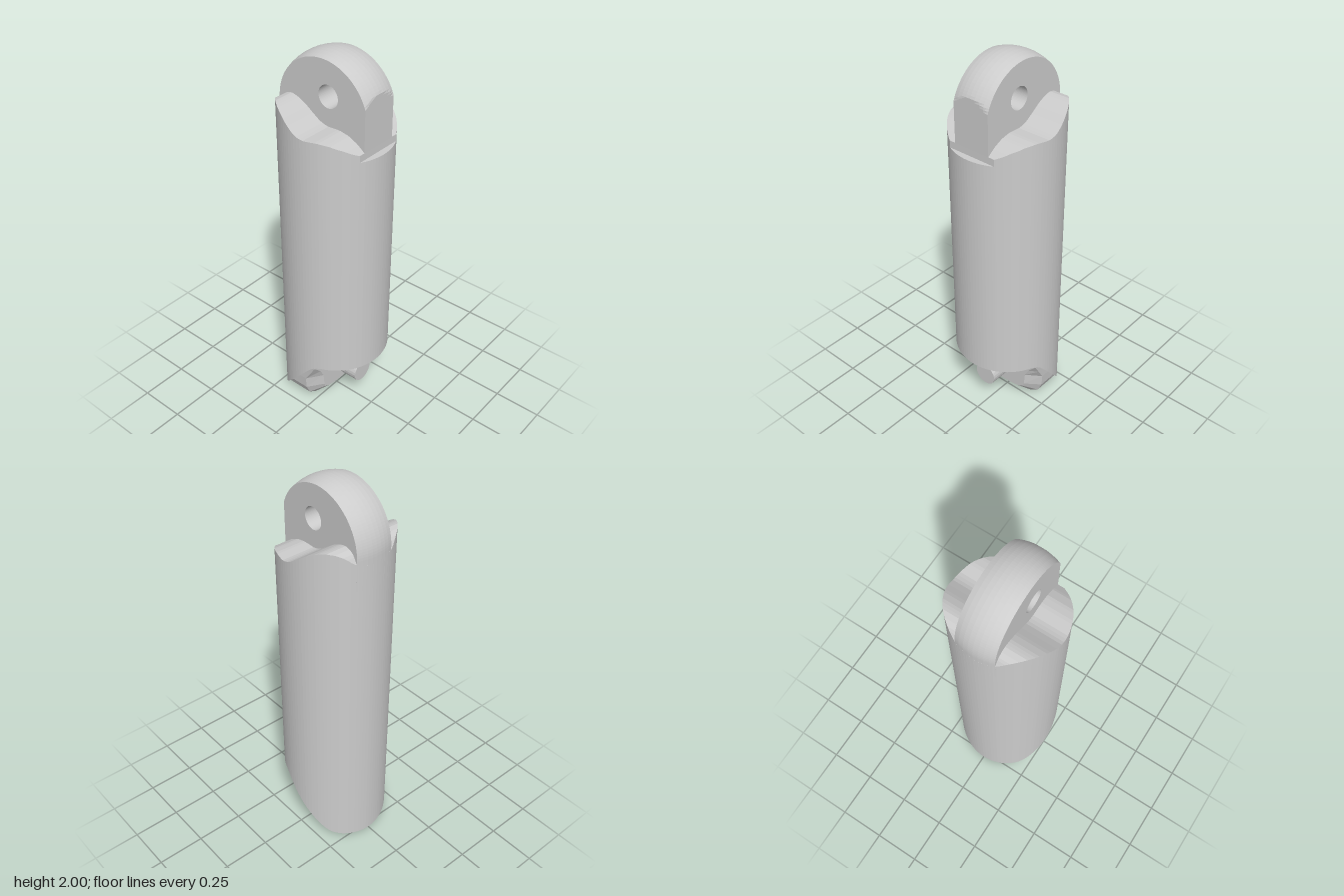
import * as THREE from 'three';

const R = 0.277;        // body radius
const FLAT = 0.243;     // flat on the +x side of the tongue
const DOME_Y = 1.723;   // centre of the domed tongue

const material = new THREE.MeshStandardMaterial({ color: 0xcccccc, flatShading: true });

// Linear lookup of y at x in a list of [x, y]
function lookup(points, x) {
  for (let i = 1; i < points.length; i++) {
    const [x0, y0] = points[i - 1], [x1, y1] = points[i];
    if (x <= x1) return y0 + (y1 - y0) * Math.max(0, (x - x0) / (x1 - x0));
  }
  return points[points.length - 1][1];
}

// Skin through rows of [x, y, z] points
function loft(rows, closed) {
  const n = rows[0].length, index = [];
  for (let i = 0; i < rows.length - 1; i++) {
    for (let j = 0; j < (closed ? n : n - 1); j++) {
      const k = (j + 1) % n;
      const a = i * n + j, b = a + n, c = (i + 1) * n + k, d = i * n + k;
      index.push(a, b, c, a, c, d);
    }
  }
  const g = new THREE.BufferGeometry();
  g.setAttribute('position', new THREE.Float32BufferAttribute(rows.flat(2), 3));
  g.setIndex(index);
  g.computeVertexNormals();
  return g;
}

function add(group, name, geometry) {
  const mesh = new THREE.Mesh(geometry, material);
  mesh.name = name;
  group.add(mesh);
  return mesh;
}

const halfWidth = (x) => Math.sqrt(Math.max(0, R * R - x * x));

// Round body: wavy shoulders above, slanted cut below
function bodyGeometry() {
  const top = [[-0.277, 1.69], [-0.255, 1.71], [-0.235, 1.745], [-0.21, 1.762], [-0.18, 1.768],
    [-0.145, 1.76], [-0.1, 1.738], [-0.05, 1.703], [-0.01, 1.677], [0.03, 1.666], [0.1, 1.669],
    [0.15, 1.66], [0.2, 1.637], [FLAT, 1.605]];
  const bottom = [[-0.277, 0], [-0.23, 0.017], [-0.2, 0.032], [-0.175, 0.055], [0.02, 0.287],
    [0.05, 0.32], [0.075, 0.338], [0.105, 0.345], [0.277, 0.345]];
  const xs = [FLAT, FLAT + 0.0002];
  for (let i = 0; i <= 48; i++) xs.push(-R * Math.cos((i / 48) * Math.PI));
  xs.sort((a, b) => a - b);
  const rows = xs.map((x) => {
    const w = halfWidth(x), lo = lookup(bottom, x);
    const hi = x > FLAT ? 1.57 : lookup(top, x);
    return [[x, lo, -w], [x, lo, w], [x, hi, w], [x, hi, -w]];
  });
  return loft(rows, true);
}

// Domed tongue with a cross hole
function tongueGeometry() {
  const shape = new THREE.Shape();
  shape.moveTo(-R, 1.57);
  shape.lineTo(R, 1.57);
  shape.lineTo(R, DOME_Y);
  shape.absarc(0, DOME_Y, R, 0, Math.PI, false);
  shape.closePath();
  const hole = new THREE.Path();
  hole.absarc(0.035, 1.812, 0.056, 0, Math.PI * 2, true);
  shape.holes.push(hole);
  const g = new THREE.ExtrudeGeometry(shape, { depth: 0.2, steps: 8, bevelEnabled: false, curveSegments: 32 });
  g.translate(0, 0, -0.1);
  // Shrink the rim away from the middle to form a sphere, then cut the flat
  const p = g.attributes.position;
  for (let i = 0; i < p.count; i++) {
    const x = p.getX(i), y = p.getY(i), z = p.getZ(i);
    if (Math.hypot(x, y - DOME_Y) < 0.2) continue;
    const s = halfWidth(z) / R;
    p.setX(i, Math.min(x * s, FLAT));
    if (y > DOME_Y) p.setY(i, DOME_Y + (y - DOME_Y) * s);
  }
  g.computeVertexNormals();
  return g;
}

// Rounded block under the body, with a chamfer around its flat end
function footGeometry() {
  const mirror = (half) => [...half.map(([z, y]) => [-z, y]), ...half.slice(0, -1).reverse()];
  // [z, y] from the upper edge down to the centre line
  const outer = mirror([[0.24, 0.335], [0.238, 0.29], [0.235, 0.24], [0.232, 0.18], [0.225, 0.11],
    [0.2, 0.055], [0.15, 0.022], [0.08, 0.009], [0, 0.004]]);
  const inner = mirror([[0.24, 0.335], [0.232, 0.29], [0.19, 0.245], [0.167, 0.2], [0.16, 0.13],
    [0.15, 0.107], [0.12, 0.092], [0.07, 0.083], [0, 0.08]]);
  const rows = [-0.274, -0.262, -0.24, -0.21, -0.17, -0.12, -0.07].map((x) => {
    const w = halfWidth(x) - 0.002;
    return outer.map(([z, y]) => [x, y, THREE.MathUtils.clamp(z, -w, w)]);
  });
  rows.push(outer.map(([z, y]) => [-0.025 + 0.073 * THREE.MathUtils.smoothstep(y, 0.16, 0.31), y, z]));
  rows.push(inner.map(([z, y]) => [0.048, y, z]));
  rows.push(inner.map(([, y]) => [0.048, y, 0]));
  return loft(rows, false);
}

export function createModel() {
  const model = new THREE.Group();
  model.name = 'link';
  add(model, 'body', bodyGeometry());
  add(model, 'tongue', tongueGeometry());
  add(model, 'foot', footGeometry());

  // Pin standing out of the foot
  const pin = add(model, 'pin', new THREE.CylinderGeometry(0.063, 0.063, 0.152, 24));
  pin.rotation.z = -Math.PI / 2;
  pin.position.set(0.106, 0.2, 0);
  return model;
}
